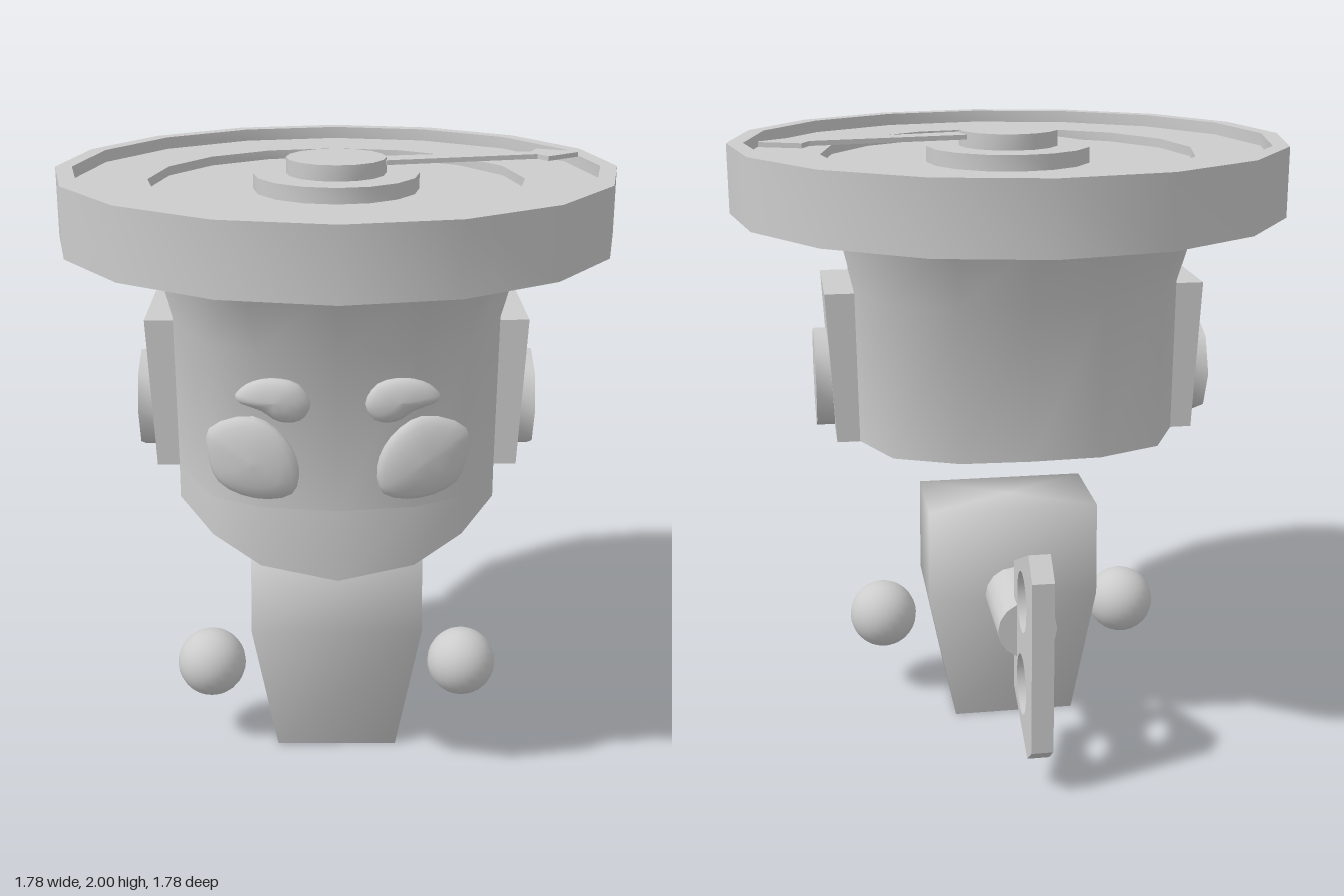
import * as THREE from 'three';
import { toCreasedNormals } from 'three/addons/utils/BufferGeometryUtils.js';

const grey = new THREE.MeshStandardMaterial({ color: 0xcccccc });
grey.name = 'plain grey';

// Closed skin over matching rings; points run counter-clockwise about the ring axis.
function loft(rings, crease, bottomCentre) {
  const n = rings[0].length, pos = [], index = [];
  const centre = ring => [0, 1, 2].map(k => ring.reduce((s, p) => s + p[k], 0) / n);
  rings.forEach(ring => ring.forEach(p => pos.push(...p)));
  const last = (rings.length - 1) * n, low = rings.length * n, high = low + 1;
  pos.push(...(bottomCentre || centre(rings[0])), ...centre(rings[rings.length - 1]));
  for (let i = 0; i < n; i++) {
    const j = (i + 1) % n;
    for (let r = 0; r < last; r += n) {
      index.push(r + i, r + j, r + n + j, r + i, r + n + j, r + n + i);
    }
    index.push(low, j, i, high, last + i, last + j);
  }
  const geo = new THREE.BufferGeometry();
  geo.setAttribute('position', new THREE.Float32BufferAttribute(pos, 3));
  geo.setIndex(index);
  geo.computeVertexNormals();
  return crease ? toCreasedNormals(geo, crease) : geo;
}

// Pillow-shaped blob with a drawn outline, lying on the face.
function blob(outline, side, z, depth, slope) {
  let pts = outline.map(([x, y]) => new THREE.Vector3(x * side, y, 0));
  if (side < 0) pts.reverse();
  pts = new THREE.CatmullRomCurve3(pts, true).getPoints(24).slice(0, 24);
  const mid = pts.reduce((s, p) => s.add(p), new THREE.Vector3()).divideScalar(24);
  const rings = [];
  for (let k = 0; k <= 10; k++) {
    const a = Math.PI * (0.02 + 0.96 * k / 10), f = Math.sin(a);
    rings.push(pts.map(p => {
      const x = mid.x + (p.x - mid.x) * f;
      return [x, mid.y + (p.y - mid.y) * f,
        z - Math.cos(a) * depth - slope * (Math.abs(x) - Math.abs(mid.x))];
    }));
  }
  return loft(rings);
}

// Rectangular ring in plan
const rect = (x0, x1, y, z0, z1) => [[x0, y, z1], [x1, y, z1], [x1, y, z0], [x0, y, z0]];

export function createModel() {
  const model = new THREE.Group();
  model.name = 'clockHeadToy';
  const add = (name, geo, x = 0, y = 0, z = 0) => {
    const mesh = new THREE.Mesh(geo, grey);
    mesh.name = name;
    mesh.position.set(x, y, z);
    model.add(mesh);
    return mesh;
  };

  // Stepped dial on top of the head
  const dial = [[0, 1.75], [0.89, 1.75], [0.89, 1.97], [0.837, 1.97], [0.837, 1.93], [0.6, 1.93],
    [0.6, 1.9], [0.265, 1.9], [0.265, 1.95], [0, 1.95]].map(p => new THREE.Vector2(...p));
  add('dial', toCreasedNormals(new THREE.LatheGeometry(dial, 16), 0.7));
  add('dialHub', toCreasedNormals(new THREE.CylinderGeometry(0.16, 0.16, 0.05, 16), 0.7), 0, 1.975, 0);

  // Arrow-shaped pointer (shape y becomes -z)
  const arrow = new THREE.Shape([[0.12, -0.01], [0.16, -0.015], [0.65, 0.1], [0.68, 0.057], [0.787, 0.14],
    [0.79, 0.16], [0.66, 0.21], [0.635, 0.156], [0.14, 0.07]].map(p => new THREE.Vector2(...p)));
  const pointer = new THREE.ExtrudeGeometry(arrow, { depth: 0.015, bevelEnabled: false });
  add('pointer', pointer.rotateX(-Math.PI / 2), 0, 1.976, 0);

  // Head: half plan from the front round to the back, mirrored, flaring towards the dial
  const half = [[0, 0.61], [0.235, 0.575], [0.385, 0.49], [0.51, 0.2], [0.51, -0.2],
    [0.42, -0.39], [0.22, -0.475], [0, -0.485]];
  const plan = [...half, ...half.slice(1, -1).reverse().map(([x, z]) => [-x, z])];
  const headRing = (y, sx, sz) => plan.map(([x, z]) => [x * sx, y, z * sz]);
  add('head', loft([headRing(1.04, 1, 1), headRing(1.53, 1.01, 1), headRing(1.77, 1.12, 1.27)], 0.9));

  // Jaw hanging below the front of the head
  const jawY = [0.81, 0.847, 0.915, 0.926];
  const jawHalf = half.slice(0, 4).map(([x, z], i) => [x, jawY[i], z]);
  const jawLow = [...jawHalf, [0, 0.89, 0.2],
    ...jawHalf.slice(1).reverse().map(([x, y, z]) => [-x, y, z])];
  add('jaw', loft([jawLow, jawLow.map(([x, , z]) => [x, 1.04, z])], 0.9, [0, 0.86, 0.35]));

  // Face and ears
  const eye = [[0.158, 1.275], [0.116, 1.18], [0.137, 1.095], [0.25, 1.072], [0.358, 1.116],
    [0.39, 1.206], [0.384, 1.286], [0.25, 1.333]];
  const brow = [[0.305, 1.39], [0.27, 1.434], [0.2, 1.455], [0.116, 1.44], [0.08, 1.38],
    [0.11, 1.328], [0.174, 1.323], [0.226, 1.355]];
  for (const [side, label] of [[1, 'left'], [-1, 'right']]) {
    add(label + 'Eye', blob(eye, side, 0.58, 0.045, 0.2));
    add(label + 'Brow', blob(brow, side, 0.597, 0.038, 0.1));

    const [a, b, c] = side > 0 ? [0.4, 0.583, 0.608] : [-0.583, -0.4, -0.608];
    const top = side > 0 ? rect(0.4, c, 1.52, -0.185, 0.195) : rect(c, -0.4, 1.52, -0.185, 0.195);
    add(label + 'Ear', loft([rect(a, b, 1.035, -0.185, 0.195), top], 0.7));
    const cap = new THREE.CylinderGeometry(0.165, 0.165, 0.1, 8).rotateZ(Math.PI / 2);
    add(label + 'EarCap', toCreasedNormals(cap, 0.9), side * 0.593, 1.205, 0);

    // Floating ball hands
    add(label + 'Hand', new THREE.SphereGeometry(0.116, 24, 16), side * 0.43, 0.285, 0.135);
  }

  // Tapered body
  const bodyRing = (y, w) => rect(-w, w, y, -0.122, 0.205);
  add('body', loft([bodyRing(0, 0.203), bodyRing(0.43, 0.288), bodyRing(0.75, 0.285)]));

  // Wind-up key on the back
  const shaft = new THREE.CylinderGeometry(0.097, 0.097, 0.32, 16).rotateX(Math.PI / 2);
  add('keyShaft', toCreasedNormals(shaft, 0.7), 0, 0.443, -0.26);
  const plate = new THREE.Shape([[0.35, 0.22], [0.63, 0.095], [0.707, 0.155], [0.707, 0.725],
    [0.63, 0.79], [0.35, 0.66]].map(p => new THREE.Vector2(...p)));
  for (const y of [0.583, 0.297]) {
    plate.holes.push(new THREE.Path().absellipse(0.51, y, 0.09, 0.1, 0, Math.PI * 2, true));
  }
  const handle = new THREE.ExtrudeGeometry(plate, { depth: 0.07, bevelEnabled: false, curveSegments: 14 });
  add('keyHandle', toCreasedNormals(handle.rotateY(Math.PI / 2), 0.7), -0.035, 0, 0);

  return model;
}
